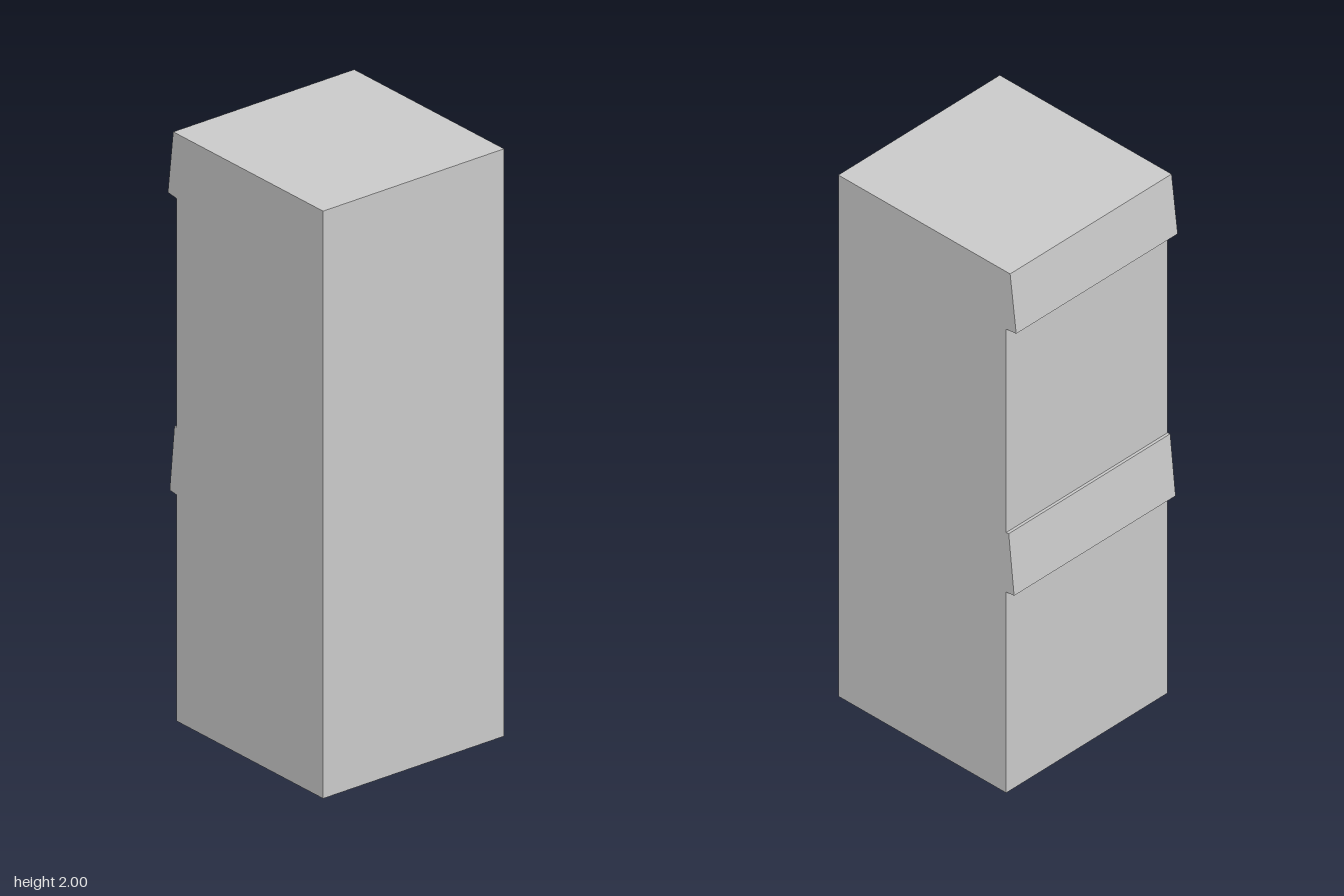
import * as THREE from 'three';

export function createModel() {
  const group = new THREE.Group();
  const depth = 0.716;

  // Side profile: plain block with two sloped drip ledges on the -x side
  const profile = [
    [-0.338, 0], [0.38, 0], [0.38, 2], [-0.355, 2],
    [-0.381, 1.784], [-0.338, 1.779],   // top ledge
    [-0.338, 0.999], [-0.349, 1.0],
    [-0.372, 0.774], [-0.338, 0.77],    // middle ledge
  ].map(([x, y]) => new THREE.Vector2(x, y));

  const geometry = new THREE.ExtrudeGeometry(new THREE.Shape(profile), { depth, bevelEnabled: false });
  geometry.translate(0, 0, -depth / 2);

  const block = new THREE.Mesh(
    geometry,
    new THREE.MeshStandardMaterial({ color: 0xcccccc, flatShading: true }),
  );
  block.name = 'ledgedBlock';
  group.add(block);
  return group;
}
